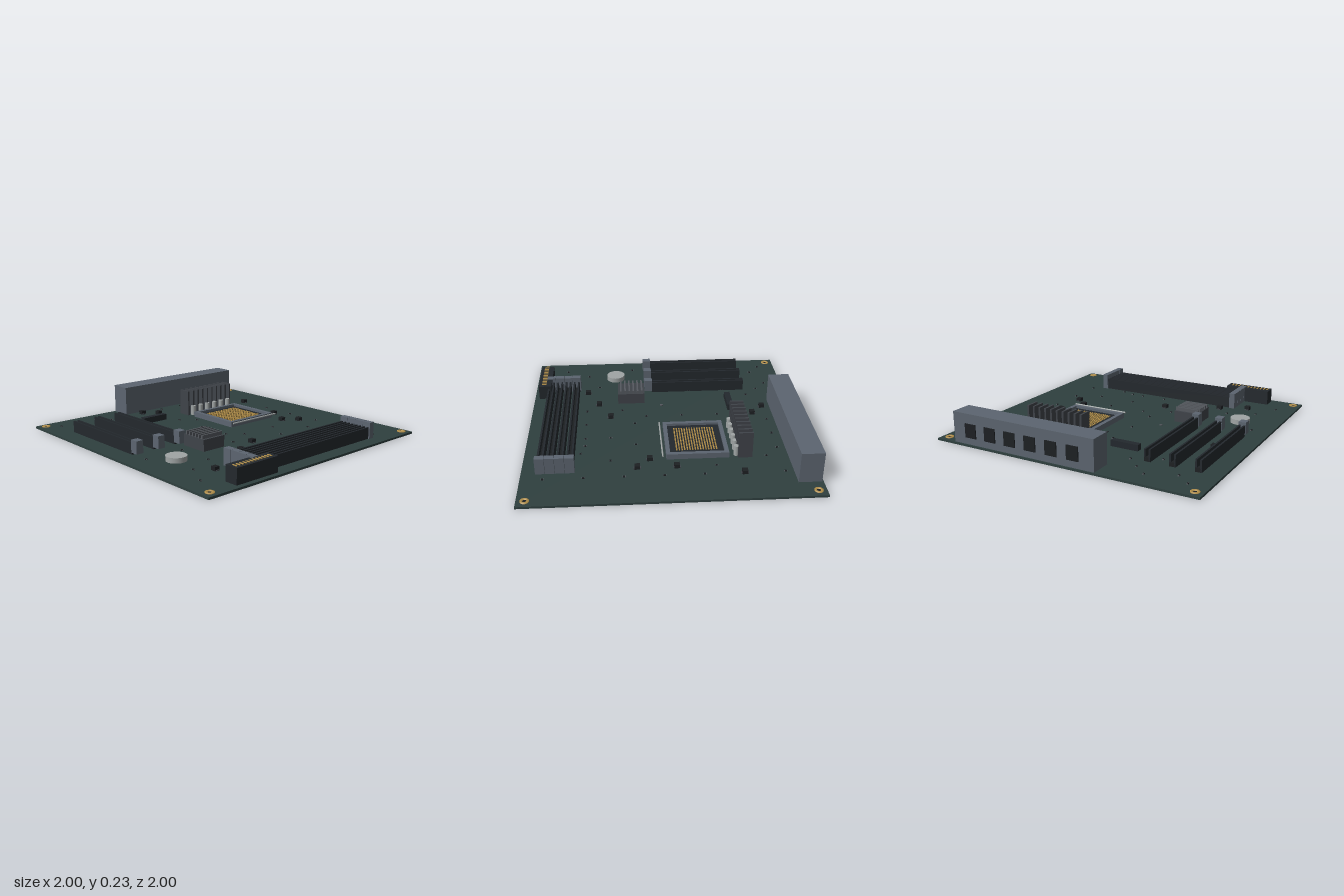
import * as THREE from 'three';

const mat = (color) => new THREE.MeshStandardMaterial({ color });
const M = {
  board: mat(0x2f403f), black: mat(0x23282d), chip: mat(0x1d2023), fin: mat(0x3f4349),
  steel: mat(0x5c6570), silver: mat(0xa0a5a5), gold: mat(0xb8944c), grey: mat(0x55595f),
};
const TOP = 0.015; // board surface height

export function createModel() {
  const root = new THREE.Group();

  const group = (name) => {
    const g = new THREE.Group();
    g.name = name;
    root.add(g);
    return g;
  };
  const add = (parent, name, geo, material, x = 0, y = 0, z = 0) => {
    const mesh = new THREE.Mesh(geo, material);
    mesh.name = name;
    mesh.position.set(x, y, z);
    parent.add(mesh);
    return mesh;
  };
  // box given by its limits on each axis
  const box = (parent, name, m, x0, x1, y0, y1, z0, z1) =>
    add(parent, name, new THREE.BoxGeometry(x1 - x0, y1 - y0, z1 - z0), m,
      (x0 + x1) / 2, (y0 + y1) / 2, (z0 + z1) / 2);
  const disc = (parent, name, m, r, x, y0, y1, z) =>
    add(parent, name, new THREE.CylinderGeometry(r, r, y1 - y0, 24), m, x, (y0 + y1) / 2, z);

  // circuit board
  box(root, 'board', M.board, -1, 1, 0, TOP, -1, 1);

  // plated mounting holes in the corners
  const ring = new THREE.LatheGeometry(
    [[0.014, 0.01], [0.03, 0.01], [0.03, 0.021], [0.014, 0.021], [0.014, 0.01]]
      .map(([r, y]) => new THREE.Vector2(r, y)), 24);
  const mounts = group('mountingHoles');
  for (const x of [-0.943, 0.943]) for (const z of [-0.943, 0.943]) {
    add(mounts, 'holeRing', ring, M.gold, x, 0, z);
    disc(mounts, 'holeCentre', M.chip, 0.014, x, 0.01, 0.0165, z);
  }

  // rear port block with recessed-looking openings
  const io = group('portBlock');
  box(io, 'portHousing', M.steel, -0.99, -0.833, TOP, 0.235, -0.847, 0.283);
  for (let i = 0; i < 6; i++) {
    const z = -0.70 + i * 0.165;
    box(io, 'port', M.chip, -0.997, -0.985, 0.065, 0.165, z - 0.045, z + 0.045);
  }

  // power stage cooling fins and capacitors
  const power = group('powerStage');
  for (let i = 0; i < 10; i++) {
    const z = -0.525 + i * 0.0493;
    box(power, 'coolingFin', M.fin, -0.58, -0.48, TOP, 0.212, z - 0.0075, z + 0.0075);
  }
  for (let i = 0; i < 6; i++)
    disc(power, 'capacitor', M.silver, 0.019, -0.473, TOP, 0.09, -0.492 + i * 0.074);

  // processor socket: open frame, floor, contact grid and lever
  const socket = group('processorSocket');
  const rect = (P, hx, hz) => {
    const p = new P();
    p.moveTo(-hx, -hz).lineTo(hx, -hz).lineTo(hx, hz).lineTo(-hx, hz).closePath();
    return p;
  };
  const frame = rect(THREE.Shape, 0.218, 0.22);
  frame.holes.push(rect(THREE.Path, 0.19, 0.19));
  const frameGeo = new THREE.ExtrudeGeometry(frame, { depth: 0.04, bevelEnabled: false });
  frameGeo.rotateX(-Math.PI / 2);
  add(socket, 'socketFrame', frameGeo, M.steel, -0.202, TOP, -0.305);
  box(socket, 'socketFloor', M.black, -0.392, -0.012, TOP, 0.037, -0.495, -0.115);
  const N = 16;
  const pinGeo = new THREE.BoxGeometry(0.009, 0.008, 0.009);
  for (let i = 0; i < N; i++) for (let j = 0; j < N; j++)
    add(socket, 'contact', pinGeo, M.gold, -0.342 + i * 0.0187, 0.04, -0.445 + j * 0.0187);
  const lever = disc(socket, 'socketLever', M.silver, 0.006, 0.041, 0, 0.45, 0);
  lever.rotation.x = Math.PI / 2;
  lever.position.set(0.041, 0.05, -0.31);

  // memory slots with end latches
  const memory = group('memorySlots');
  for (let i = 0; i < 4; i++) {
    const x = 0.672 + i * 0.0665;
    box(memory, 'slotBase', M.chip, x - 0.022, x + 0.022, TOP, 0.05, -0.605, 0.52);
    for (const s of [-1, 1]) {
      const rx = x + s * 0.0165;
      box(memory, 'slotRail', M.black, rx - 0.0065, rx + 0.0065, TOP, 0.1, -0.605, 0.52);
    }
    for (const z of [-0.627, 0.538])
      box(memory, 'memoryLatch', M.steel, x - 0.032, x + 0.032, TOP, 0.134, z - 0.022, z + 0.022);
  }

  // main power connector
  const plug = group('powerConnector');
  box(plug, 'connectorBody', M.black, 0.867, 0.965, TOP, 0.123, 0.403, 0.753);
  for (let i = 0; i < 12; i++) {
    const z = 0.438 + i * 0.0265;
    box(plug, 'connectorContact', M.gold, 0.906, 0.942, 0.12, 0.127, z - 0.005, z + 0.005);
  }

  // expansion slots with retention latches
  const expansion = group('expansionSlots');
  for (const z of [0.482, 0.662, 0.841]) {
    box(expansion, 'slotBase', M.chip, -0.67, 0.07, TOP, 0.045, z - 0.022, z + 0.022);
    for (const s of [-1, 1]) {
      const rz = z + s * 0.0165;
      box(expansion, 'slotRail', M.black, -0.67, 0.07, TOP, 0.1, rz - 0.0065, rz + 0.0065);
    }
    box(expansion, 'expansionLatch', M.steel, 0.068, 0.129, 0.03, 0.12, z - 0.027, z + 0.027);
  }

  // chipset heatsink
  const sink = group('chipsetHeatsink');
  box(sink, 'sinkBase', M.fin, 0.134, 0.342, TOP, 0.098, 0.284, 0.47);
  for (let i = 0; i < 6; i++) {
    const x = 0.156 + i * 0.0325;
    box(sink, 'sinkFin', M.grey, x - 0.006, x + 0.006, 0.095, 0.124, 0.287, 0.467);
  }

  // coin battery, storage socket and status lamp
  disc(root, 'battery', M.silver, 0.072, 0.358, TOP, 0.051, 0.718);
  box(root, 'storageSocket', M.black, -0.544, -0.5, TOP, 0.06, 0.135, 0.345);
  disc(root, 'statusLamp', M.grey, 0.011, 0.005, TOP, 0.022, 0.238);

  // small chips with a foot on two sides
  const chips = group('smallChips');
  const chipSpots = [[-0.5, -0.715], [-0.05, -0.617], [0.22, -0.617], [0.13, -0.52], [-0.68, 0.073],
    [-0.77, 0.17], [0.4, 0.073], [0.49, 0.268], [0.58, 0.463], [0.672, 0.66], [-0.23, 0.76]];
  for (const [x, z] of chipSpots) {
    box(chips, 'chipBody', M.chip, x - 0.019, x + 0.019, TOP, 0.042, z - 0.019, z + 0.019);
    box(chips, 'chipFeet', M.fin, x - 0.025, x + 0.025, TOP, 0.021, z - 0.014, z + 0.014);
  }

  // tiny surface parts, listed as rows of [z, x...]
  const rows = [
    [-0.715, -0.775, -0.23, 0.04, 0.31, 0.58, 0.85], [-0.617, -0.32], [-0.52, -0.68, 0.4],
    [-0.42, -0.775, 0.61], [-0.322, 0.22, 0.58], [-0.225, -0.775, 0.4, 0.58],
    [-0.028, -0.775, -0.32, 0.22, 0.58], [0.073, -0.41, -0.14, 0.13], [0.17, 0.31, 0.58],
    [0.367, -0.68], [0.463, -0.775, -0.5, -0.23, 0.31],
    [0.56, -0.86, -0.59, -0.32, -0.05, 0.22, 0.49], [0.76, -0.775, -0.5, 0.04, 0.31, 0.58],
    [0.858, -0.86, 0.22, 0.76]];
  const tiny = group('surfaceParts');
  for (const [z, ...xs] of rows) for (const x of xs) {
    box(tiny, 'resistorBody', M.chip, x - 0.007, x + 0.007, TOP, 0.023, z - 0.005, z + 0.005);
    for (const s of [-1, 1])
      box(tiny, 'resistorEnd', M.grey, x + s * 0.009 - 0.002, x + s * 0.009 + 0.002, TOP, 0.022, z - 0.005, z + 0.005);
  }

  return root;
}
